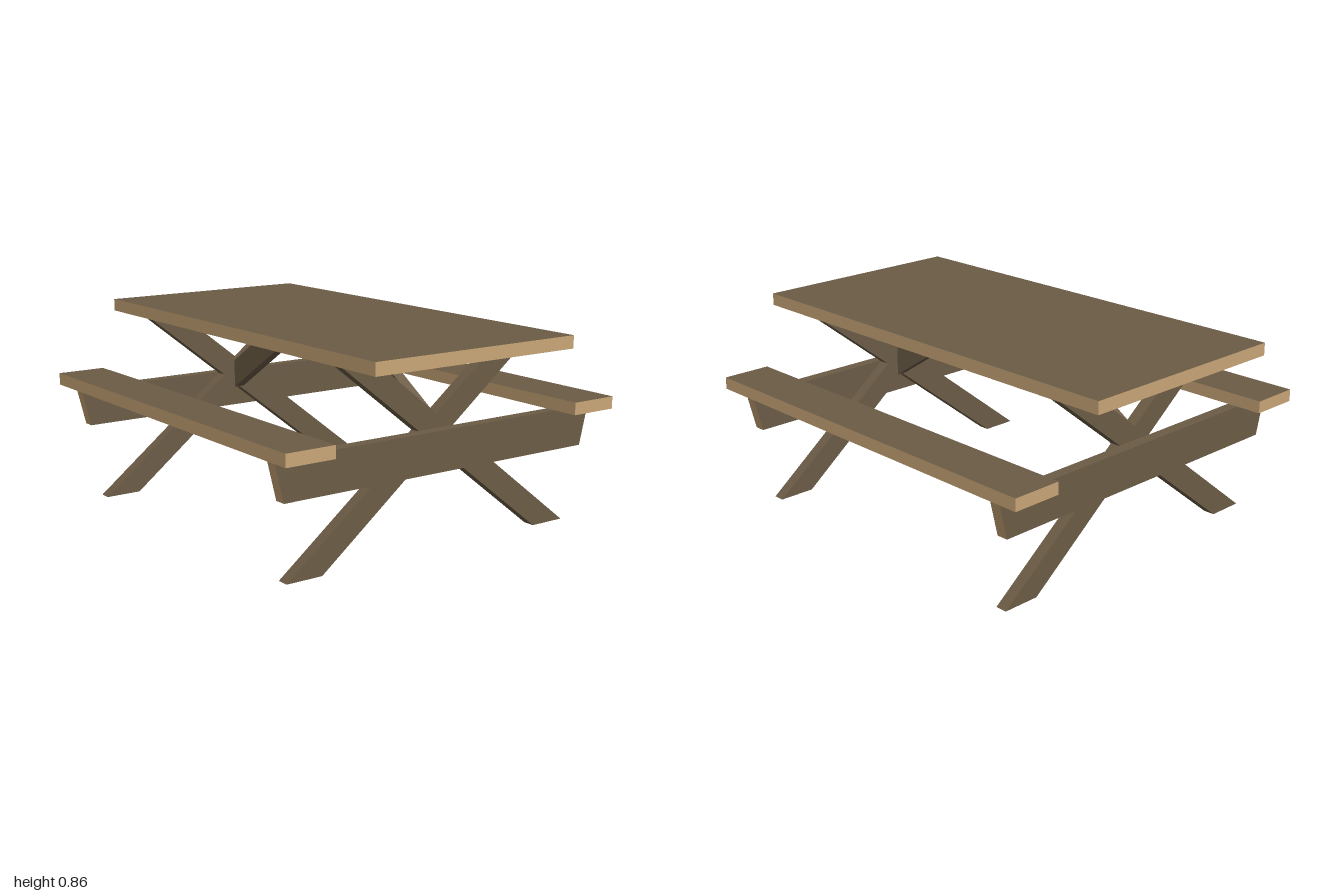
import * as THREE from 'three';

const wood = new THREE.MeshStandardMaterial({ color: 0x6c5c46 });
wood.name = 'brownWood';
const cut = new THREE.MeshStandardMaterial({ color: 0xc9a677 });
cut.name = 'paleCutWood';

// Heights of the main levels
const TOP = 0.861, UNDER = 0.807, SEAT = 0.557, BEAM_TOP = 0.504, BEAM_BOTTOM = 0.334;

// Board spanning [min, max] on each axis; cutAxes lists the axes whose end faces are pale.
// An optional rule moves the corners.
function board(name, x, y, z, cutAxes, rule) {
  const geo = new THREE.BoxGeometry(x[1] - x[0], y[1] - y[0], z[1] - z[0]);
  geo.translate((x[0] + x[1]) / 2, (y[0] + y[1]) / 2, (z[0] + z[1]) / 2);
  if (rule) {
    const pos = geo.attributes.position;
    const v = new THREE.Vector3();
    for (let i = 0; i < pos.count; i++) {
      rule(v.fromBufferAttribute(pos, i));
      pos.setXYZ(i, v.x, v.y, v.z);
    }
    geo.computeVertexNormals();
  }
  const materials = ['x', 'x', 'y', 'y', 'z', 'z'].map(a => (cutAxes.includes(a) ? cut : wood));
  const mesh = new THREE.Mesh(geo, materials);
  mesh.name = name;
  return mesh;
}

// One end of the frame: cross beam, crossed legs and diagonal brace
function endFrame(name) {
  const frame = new THREE.Group();
  frame.name = name;

  // Beam with ends sloping inward towards the bottom
  frame.add(board('crossBeam', [0.752, 0.802], [BEAM_BOTTOM, BEAM_TOP], [-0.805, 0.805], 'z', v => {
    if (v.y < 0.4) v.z *= 0.763 / 0.805;
  }));

  // Legs sheared to lean across each other
  for (const s of [1, -1]) {
    frame.add(board(s > 0 ? 'frontLeg' : 'backLeg', [0.7, 0.752], [0, UNDER], [-0.0825, 0.0825], 'y', v => {
      v.z += s * (0.6375 - 1.277 * v.y);
    }));
  }

  // Brace cut level under the table top and upright against the legs
  frame.add(board('brace', [0, 1], [0, 1], [-0.025, 0.025], 'x', v => {
    const inner = v.x < 0.5, upper = v.y > 0.5;
    v.x = inner ? (upper ? 0.318 : 0.115) : 0.7;
    v.y = inner ? UNDER : (upper ? 0.562 : 0.433);
  }));
  return frame;
}

export function createModel() {
  const table = new THREE.Group();
  table.name = 'picnicTable';

  table.add(board('tableTop', [-1, 1], [UNDER, TOP], [-0.499, 0.499], 'xz'));
  table.add(board('frontBench', [-0.916, 0.916], [BEAM_TOP, SEAT], [0.612, 0.832], 'xz'));
  table.add(board('backBench', [-0.916, 0.916], [BEAM_TOP, SEAT], [-0.832, -0.612], 'xz'));

  const left = endFrame('leftFrame');
  const right = endFrame('rightFrame');
  right.rotation.y = Math.PI;
  table.add(left, right);
  return table;
}
